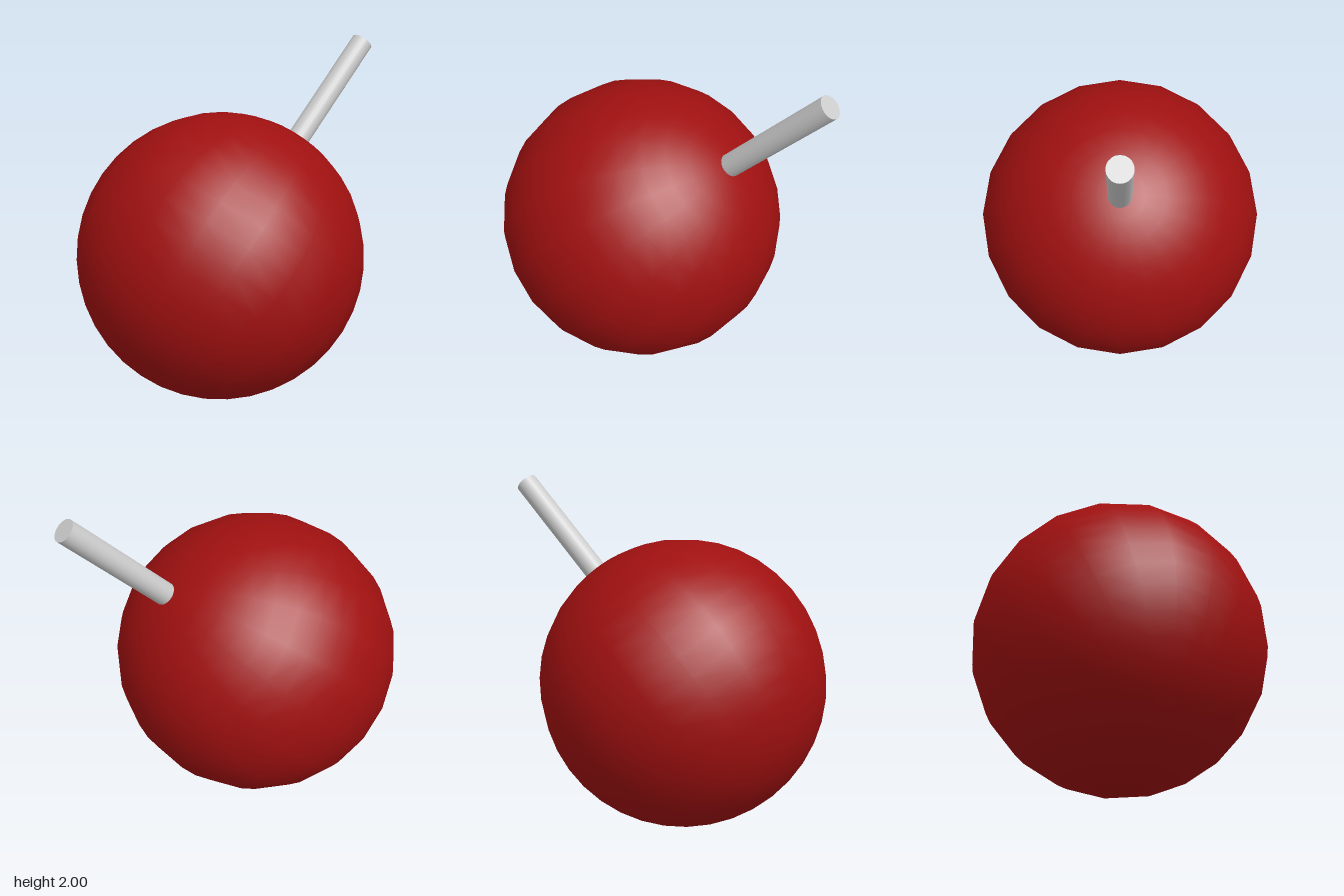
import * as THREE from 'three';

export function createModel() {
  const model = new THREE.Group();
  const radius = 0.835;

  // Ball and stem share one axis, tipped back 45 degrees
  const tilted = new THREE.Group();
  tilted.name = 'tiltedBody';
  tilted.position.set(0, 0.84, 0.165);
  tilted.rotation.x = -Math.PI / 4;
  model.add(tilted);

  // Red ball
  const ball = new THREE.Mesh(
    new THREE.SphereGeometry(radius, 20, 20),
    new THREE.MeshStandardMaterial({ color: 0xa01010 })
  );
  ball.name = 'ball';
  tilted.add(ball);

  // Straight stem, rooted just inside the ball
  const start = 0.75, end = 1.58;
  const stem = new THREE.Mesh(
    new THREE.CylinderGeometry(0.066, 0.066, end - start, 20),
    new THREE.MeshStandardMaterial({ color: 0xcccccc })
  );
  stem.name = 'stem';
  stem.position.y = (start + end) / 2;
  tilted.add(stem);

  return model;
}
